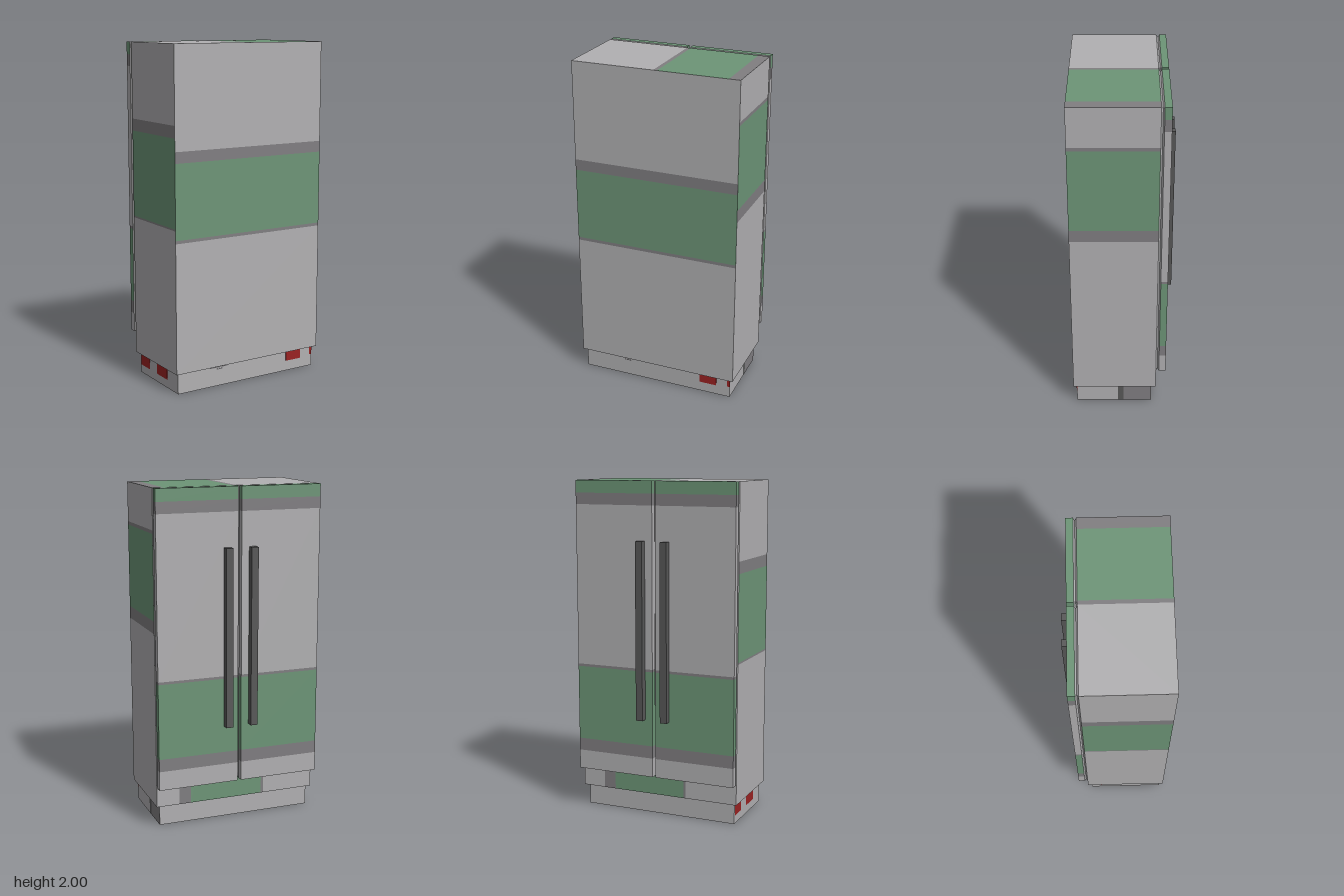
import * as THREE from 'three';

const material = (name, color, side = THREE.FrontSide) => {
  const m = new THREE.MeshStandardMaterial({ color, side });
  m.name = name;
  return m;
};

export function createModel() {
  const light = material('light grey', 0xb1b0b2, THREE.DoubleSide);
  const mid = material('mid grey', 0x807e81, THREE.DoubleSide);
  const green = material('green', 0x6d9577, THREE.DoubleSide);
  const dark = material('dark grey', 0x585858, THREE.DoubleSide);
  const red = material('red', 0x9a2222);

  const model = new THREE.Group();
  model.name = 'refrigerator';

  const box = (parent, name, mat, x0, x1, y0, y1, z0, z1) => {
    const mesh = new THREE.Mesh(new THREE.BoxGeometry(x1 - x0, y1 - y0, z1 - z0), mat);
    mesh.position.set((x0 + x1) / 2, (y0 + y1) / 2, (z0 + z1) / 2);
    mesh.name = name;
    parent.add(mesh);
  };

  // A flat wall cut into coloured bands: stops = [edge, material, edge, material, ..., edge]
  const wall = (name, position, rotation, lo, hi, stops, vertical = false) => {
    const group = new THREE.Group();
    group.name = name;
    group.position.set(...position);
    group.rotation.set(...rotation);
    for (let i = 0; i + 2 < stops.length; i += 2) {
      const a = stops[i], b = stops[i + 2];
      const [w, h] = vertical ? [b - a, hi - lo] : [hi - lo, b - a];
      const mesh = new THREE.Mesh(new THREE.PlaneGeometry(w, h), stops[i + 1]);
      if (vertical) mesh.position.set((a + b) / 2, (lo + hi) / 2, 0);
      else mesh.position.set((lo + hi) / 2, (a + b) / 2, 0);
      mesh.name = name + 'Band';
      group.add(mesh);
    }
    model.add(group);
  };

  const q = Math.PI / 2;
  const FRONT = [0, 0, 0], BACK = [0, Math.PI, 0], PLUS_X = [0, q, 0], MINUS_X = [0, -q, 0];

  // Cabinet
  wall('cabinetFront', [0, 0, 0.3], FRONT, -0.5, 0.5,
    [0.125, light, 0.892, mid, 0.91, green, 1.345, mid, 1.41, light, 2]);
  wall('cabinetLeft', [0.5, 0, 0], PLUS_X, -0.3, 0.2,
    [0.125, light, 1.175, mid, 1.248, green, 1.745, mid, 1.765, light, 2]);
  wall('cabinetRight', [-0.5, 0, 0], MINUS_X, -0.2, 0.3,
    [0.125, light, 0.965, mid, 0.975, green, 1.485, mid, 1.555, light, 2]);
  wall('cabinetBack', [0, 0, -0.2], BACK, 0.125, 2,
    [-0.5, light, -0.36, mid, -0.287, green, 0.165, mid, 0.18, light, 0.5], true);
  wall('cabinetTop', [0, 2, 0], [-q, 0, 0], -0.3, 0.2,
    [-0.5, light, -0.003, mid, 0.02, green, 0.433, mid, 0.5], true);
  wall('cabinetBottom', [0, 0.125, 0], [q, 0, 0], -0.2, 0.3, [-0.5, light, 0.5], true);

  // Plinth: four thin walls, open below
  wall('plinthFront', [0, 0, 0.28], FRONT, 0, 0.125, [-0.48, light, 0.477], true);
  wall('plinthBack', [0, 0, -0.175], BACK, 0, 0.125, [-0.477, light, 0.48], true);
  wall('plinthLeft', [0.477, 0, 0], PLUS_X, 0, 0.125,
    [-0.28, light, -0.03, dark, 0.005, mid, 0.175], true);
  wall('plinthRight', [-0.48, 0, 0], MINUS_X, 0, 0.125, [-0.175, light, 0.28], true);

  // Painted marks on the plinth, showing inside and out
  const t = 0.002;
  box(model, 'frontMark', red, 0.282, 0.39, 0.062, 0.124, 0.28 - t, 0.28 + t);
  box(model, 'frontMark', red, 0.46, 0.477, 0.072, 0.124, 0.28 - t, 0.28 + t);
  box(model, 'sideMark', red, -0.48 - t, -0.48 + t, 0.05, 0.124, -0.165, -0.06);
  box(model, 'sideMark', red, -0.48 - t, -0.48 + t, 0.05, 0.115, 0.03, 0.155);
  box(model, 'fineMark', mid, -0.265, -0.145, 0.112, 0.117, 0.28 - t, 0.28 + t);
  box(model, 'fineMark', mid, -0.22, -0.18, 0.1, 0.105, 0.28 - t, 0.28 + t);

  // Doors with pinched gaskets and bar handles, mirrored about x = 0
  const bands = [0.25, light, 0.365, mid, 0.44, green, 0.89, mid, 0.905,
    light, 1.86, mid, 1.927, green, 2];
  for (const s of [-1, 1]) {
    const door = new THREE.Group();
    door.name = s > 0 ? 'leftDoor' : 'rightDoor';
    const x0 = s > 0 ? 0.01 : -0.5, x1 = s > 0 ? 0.5 : -0.01;
    for (let i = 0; i + 2 < bands.length; i += 2)
      box(door, 'doorBand', bands[i + 1], x0, x1, bands[i], bands[i + 2], -0.258, -0.218);

    // Gasket: the middle ring of a two-step box is drawn inward
    const w = 0.49, h = 1.75;
    let geo = new THREE.BoxGeometry(w, h, 0.018, 1, 1, 2);
    const p = geo.attributes.position;
    for (let i = 0; i < p.count; i++)
      if (Math.abs(p.getZ(i)) < 0.001)
        p.setXY(i, p.getX(i) * (1 - 0.02 / w), p.getY(i) * (1 - 0.02 / h));
    geo = geo.toNonIndexed();
    geo.computeVertexNormals();
    const gasket = new THREE.Mesh(geo, light);
    gasket.name = 'gasket';
    gasket.position.set((x0 + x1) / 2, 0.25 + h / 2, -0.209);
    door.add(gasket);

    const hx = s * 0.077;
    box(door, 'handle', dark, hx - 0.021, hx + 0.021, 0.6, 1.657, -0.3, -0.258);
    model.add(door);
  }
  return model;
}
